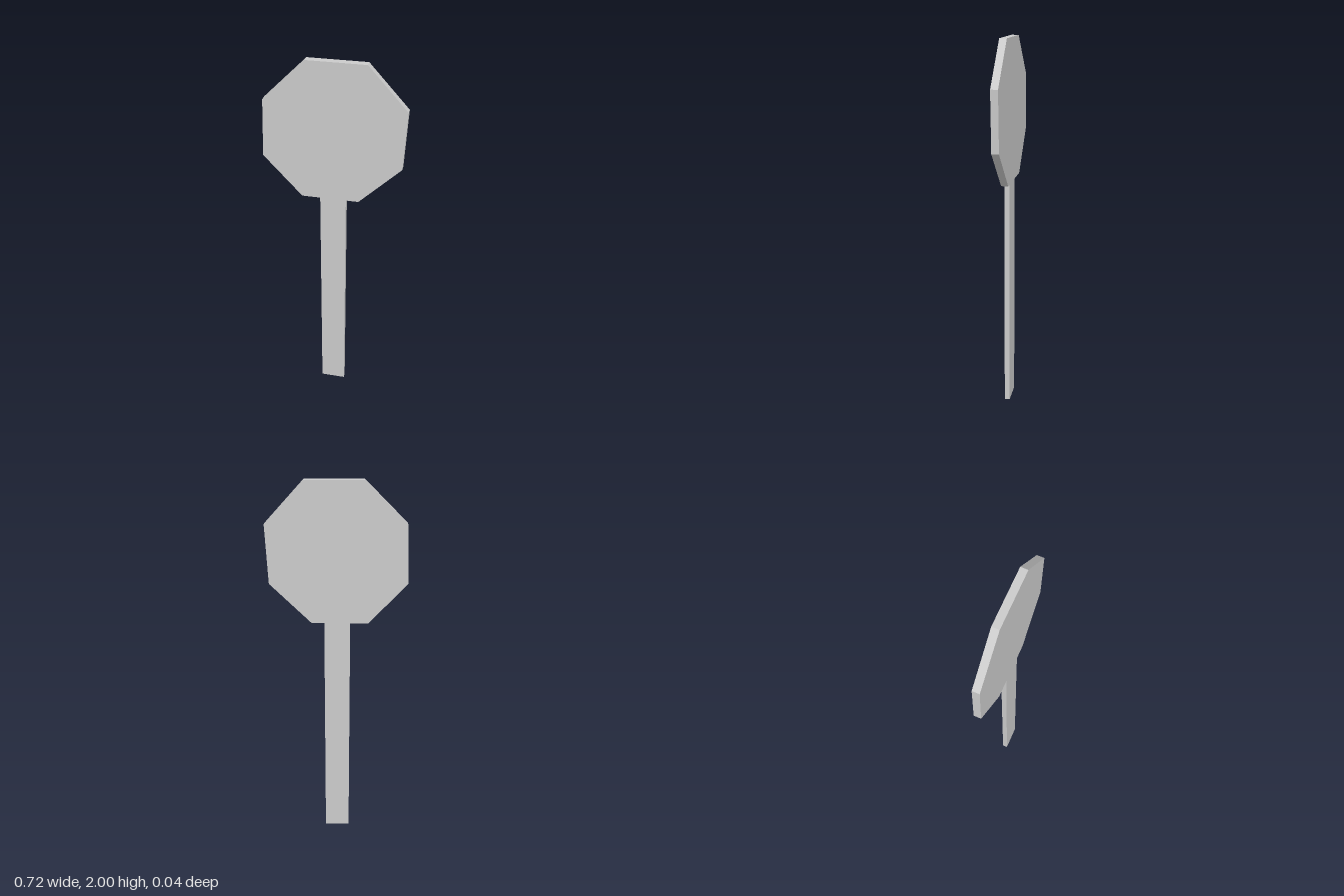
import * as THREE from 'three';

export function createModel() {
  const group = new THREE.Group();
  const material = new THREE.MeshStandardMaterial({ color: 0xcccccc, flatShading: true });

  // Octagonal plate, slightly skewed: half its corners, turned about the centre for the rest
  const centre = new THREE.Vector2(-0.002, 1.6375);
  const half = [[0.358, 0.149], [0.161, 0.3625], [-0.132, 0.3625], [-0.345, 0.152]]
    .map(([x, y]) => new THREE.Vector2(x, y));
  const corners = [...half, ...half.map((p) => p.clone().negate())].map((p) => p.add(centre));
  const depth = 0.037;
  const plateGeometry = new THREE.ExtrudeGeometry(new THREE.Shape(corners), { depth, bevelEnabled: false });
  plateGeometry.translate(0, 0, -depth / 2);
  const plate = new THREE.Mesh(plateGeometry, material);
  plate.name = 'signPlate';
  group.add(plate);

  // Flat post, thinner than the plate
  const height = 1.275;
  const post = new THREE.Mesh(new THREE.BoxGeometry(0.134, height, 0.028), material);
  post.position.set(-0.002, height / 2, 0.002);
  post.name = 'post';
  group.add(post);

  return group;
}
